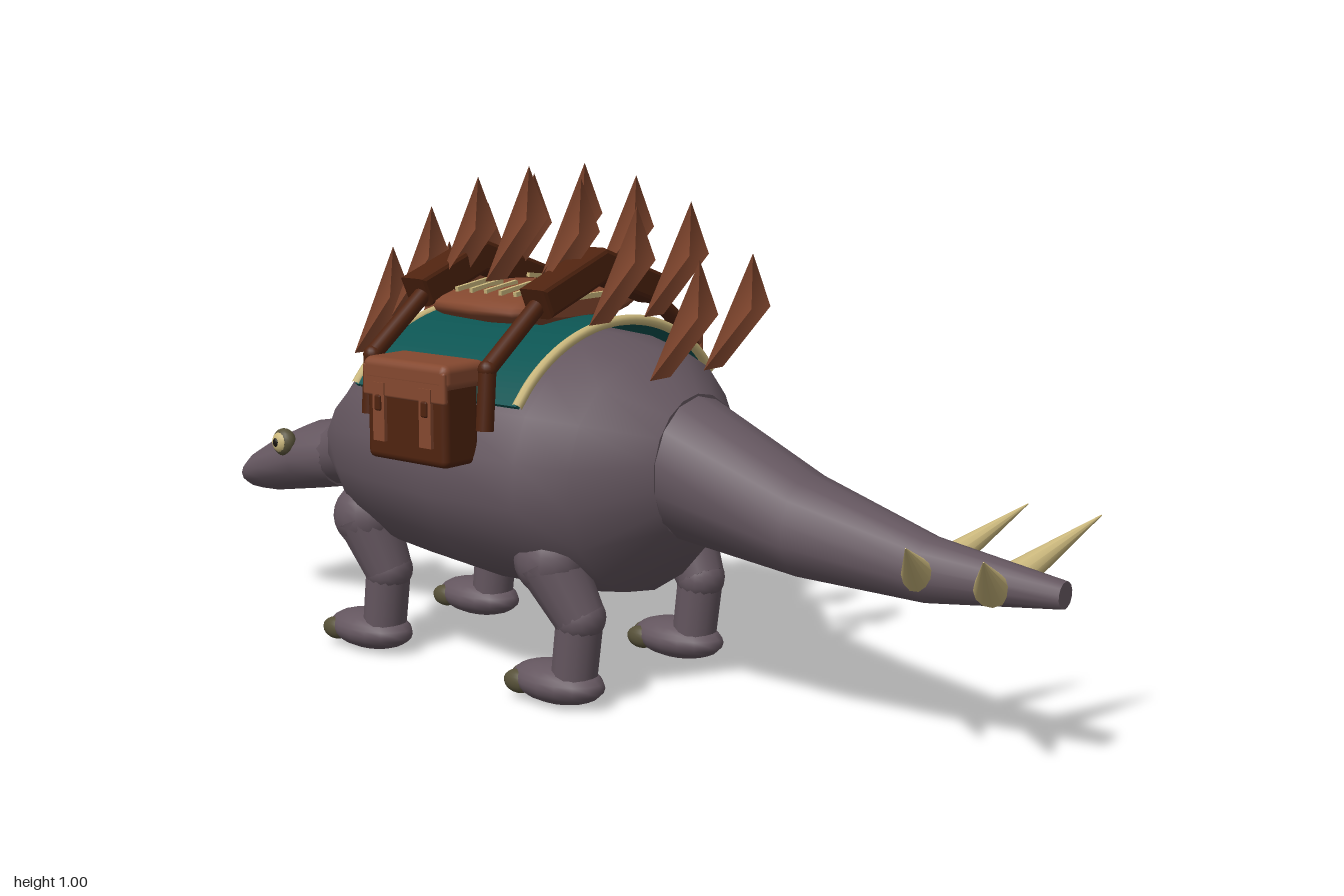
import * as THREE from 'three';
import { RoundedBoxGeometry } from 'three/addons/geometries/RoundedBoxGeometry.js';

const mat = (name, color) => {
  const m = new THREE.MeshStandardMaterial({ color });
  m.name = name;
  return m;
};
const V = (x, y, z) => new THREE.Vector3(x, y, z);

// Closed loft through elliptical rings [z, centreY, radiusX, radiusY], from +z to -z
function loft(rings, seg) {
  const pos = [], idx = [];
  const n = rings.length;
  for (const [z, cy, rx, ry] of rings) {
    for (let j = 0; j < seg; j++) {
      const a = (j / seg) * Math.PI * 2 + Math.PI / 2;
      pos.push(rx * Math.cos(a), cy + ry * Math.sin(a), z);
    }
  }
  for (let i = 0; i < n - 1; i++) {
    for (let j = 0; j < seg; j++) {
      const k = (j + 1) % seg;
      const a = i * seg + j, b = i * seg + k, c = a + seg, d = b + seg;
      idx.push(a, c, b, b, c, d);
    }
  }
  // End caps with their own vertices, so the rims stay sharp
  [0, n - 1].forEach((r) => {
    const base = pos.length / 3;
    for (let j = 0; j < seg * 3; j++) pos.push(pos[r * seg * 3 + j]);
    for (let j = 1; j < seg - 1; j++) {
      if (r === 0) idx.push(base, base + j, base + j + 1);
      else idx.push(base, base + j + 1, base + j);
    }
  });
  const g = new THREE.BufferGeometry();
  g.setAttribute('position', new THREE.Float32BufferAttribute(pos, 3));
  g.setIndex(idx);
  g.computeVertexNormals();
  return g;
}

// Pointed blade: an open sheet whose two shoulders fold back, with the tip at the origin
function bladeGeometry() {
  const w = 0.031;
  const g = new THREE.BufferGeometry();
  g.setAttribute('position', new THREE.Float32BufferAttribute([
    0, 0, 0, -w, -0.1, 0.02, -w, -0.225, -0.088, w, -0.225, -0.088, w, -0.1, 0.02], 3));
  g.setIndex([0, 2, 1, 0, 3, 2, 0, 4, 3].reverse().map((v) => v));
  g.setIndex([0, 3, 2, 0, 2, 1, 0, 4, 3]);
  g.computeVertexNormals();
  return g;
}

export function createModel() {
  const model = new THREE.Group();
  model.name = 'packBeast';

  const hide = mat('hide', 0x64565f);
  const leather = mat('leather', 0x84482f);
  leather.side = THREE.DoubleSide;
  const darkLeather = mat('darkLeather', 0x4f230f);
  const cloth = mat('cloth', 0x0c5452);
  const horn = mat('horn', 0xcab77c);
  const claw = mat('claw', 0x565038);
  const pupilMat = mat('pupil', 0x17130f);

  const add = (name, geo, material, p = [0, 0, 0], s = [1, 1, 1]) => {
    const m = new THREE.Mesh(geo, material);
    m.name = name;
    m.position.set(...p);
    m.scale.set(...s);
    model.add(m);
    return m;
  };
  // Tapered rod from a to b
  const rod = (name, a, b, ra, rb, material, seg = 12) => {
    const m = add(name, new THREE.CylinderGeometry(rb, ra, a.distanceTo(b), seg), material);
    m.position.copy(a).lerp(b, 0.5);
    m.quaternion.setFromUnitVectors(V(0, 1, 0), b.clone().sub(a).normalize());
  };
  const ball = new THREE.SphereGeometry(1, 16, 12);
  const blade = bladeGeometry();

  // Trunk, tail, neck and head
  add('body', loft([
    [0.245, 0.45, 0.135, 0.14], [0.145, 0.43, 0.262, 0.236], [0.05, 0.435, 0.31, 0.252],
    [-0.15, 0.44, 0.335, 0.26], [-0.36, 0.44, 0.3, 0.245], [-0.48, 0.43, 0.25, 0.218],
    [-0.57, 0.425, 0.19, 0.135]], 18), hide);
  add('tail', loft([
    [1, 0.333, 0.025, 0.024], [0.75, 0.335, 0.055, 0.06], [0.5, 0.375, 0.1, 0.095],
    [0.235, 0.45, 0.135, 0.14]], 14), hide);
  add('neck', loft([
    [-0.5, 0.425, 0.115, 0.125], [-0.57, 0.41, 0.102, 0.12], [-0.65, 0.385, 0.092, 0.092],
    [-0.74, 0.355, 0.084, 0.07]], 14), hide);
  add('head', loft([
    [-0.71, 0.36, 0.086, 0.077], [-0.8, 0.343, 0.1, 0.077], [-0.9, 0.313, 0.1, 0.064],
    [-0.96, 0.295, 0.088, 0.049], [-1, 0.283, 0.06, 0.034]], 16), hide);

  for (const s of [1, -1]) {
    // Eyes
    add('eyeSocket', ball, claw, [s * 0.087, 0.38, -0.82], [0.022, 0.031, 0.031]);
    add('eye', ball, horn, [s * 0.095, 0.381, -0.821], [0.017, 0.024, 0.024]);
    add('pupil', ball, pupilMat, [s * 0.109, 0.382, -0.823], [0.005, 0.01, 0.009]);

    // Tail spikes
    for (const z of [0.74, 0.88]) {
      rod('tailSpike', V(s * 0.028, 0.328, z), V(s * 0.212, 0.425, z + 0.08), 0.031, 0.001, horn);
    }

    // Legs: [x, hip z, hip y, knee z, ankle z, foot z]
    for (const [x, hz, hy, kz, az, fz] of [
      [0.19, 0.055, 0.28, 0.115, 0.1, 0.06], [0.165, -0.465, 0.285, -0.42, -0.435, -0.475]]) {
      const hip = V(s * (x + 0.015), hy, hz), knee = V(s * x, 0.175, kz), ankle = V(s * x, 0.05, az);
      add('hip', ball, hide, hip.toArray(), [0.065, 0.07, 0.072]);
      rod('thigh', hip, knee, 0.066, 0.05, hide, 14);
      add('knee', ball, hide, knee.toArray(), [0.05, 0.048, 0.05]);
      rod('shin', knee, ankle, 0.046, 0.045, hide, 14);
      add('foot', ball, hide, [s * x, 0.04, fz], [0.064, 0.04, 0.105]);
      for (const t of [-1, 0, 1]) {
        add('toe', ball, claw, [s * x + t * 0.036, 0.035, fz - 0.08 + Math.abs(t) * 0.012],
          [0.02, 0.023, 0.034]);
      }
    }

    // Back spines: [tip z, tip y]
    for (const [z, y] of [[0.307, 0.85], [0.163, 0.94], [0.03, 0.985], [-0.1, 1.005],
      [-0.233, 0.98], [-0.361, 0.917], [-0.473, 0.83]]) {
      add('backSpine', blade, leather, [s * 0.083, y, z]);
    }

    // Saddlebag with lid, straps and buckles
    add('bag', new RoundedBoxGeometry(0.092, 0.17, 0.205, 2, 0.014), darkLeather, [s * 0.343, 0.553, -0.138]);
    add('bagLid', new RoundedBoxGeometry(0.115, 0.05, 0.218, 2, 0.016), leather, [s * 0.337, 0.636, -0.138]);
    add('bagFlap', new RoundedBoxGeometry(0.012, 0.06, 0.212, 2, 0.005), leather, [s * 0.388, 0.618, -0.138]);
    for (const z of [-0.08, -0.2]) {
      add('bagStrap', new THREE.BoxGeometry(0.009, 0.11, 0.03), leather, [s * 0.392, 0.56, z]);
      add('bagBuckle', new RoundedBoxGeometry(0.01, 0.03, 0.016, 1, 0.004), darkLeather, [s * 0.396, 0.577, z]);
    }

    // Side rails of the saddle frame
    for (const z of [-0.005, -0.305]) {
      const top = V(s * 0.17, 0.75, z), elbow = V(s * 0.308, 0.648, z);
      rod('frameRail', top, elbow, 0.017, 0.017, darkLeather);
      add('frameElbow', ball, darkLeather, elbow.toArray(), [0.018, 0.018, 0.018]);
      rod('framePost', elbow, V(s * 0.317, 0.535, z), 0.017, 0.017, darkLeather);
    }

    // Seat lacing
    for (let i = 0; i < 5; i++) {
      const lace = add('seatLace', new THREE.BoxGeometry(0.09, 0.009, 0.008), horn,
        [s * 0.105, 0.771, -0.231 + i * 0.038]);
      lace.rotation.z = -s * 0.13;
    }
  }

  // Blanket: an arched sheet over the back, with a trim at each end
  const a0 = 0.55, a1 = Math.PI - a0;
  const arch = new THREE.Shape();
  arch.absellipse(0, 0.44, 0.35, 0.275, a0, a1, false);
  arch.absellipse(0, 0.44, 0.34, 0.264, a1, a0, true);
  add('blanket', new THREE.ExtrudeGeometry(arch, { depth: 0.42, bevelEnabled: false, curveSegments: 24 }),
    cloth, [0, 0, -0.365]);
  const arc = [];
  for (let i = 0; i <= 12; i++) {
    const a = a0 + ((a1 - a0) * i) / 12;
    arc.push(V(0.347 * Math.cos(a), 0.44 + 0.272 * Math.sin(a), 0));
  }
  for (const z of [0.055, -0.365]) {
    add('blanketTrim', new THREE.TubeGeometry(new THREE.CatmullRomCurve3(arc), 32, 0.01, 8), horn, [0, 0, z]);
  }

  // Padded seat and its piping
  add('seat', loft([
    [-0.035, 0.735, 0.15, 0.02], [-0.055, 0.735, 0.19, 0.036], [-0.155, 0.735, 0.2, 0.041],
    [-0.255, 0.735, 0.19, 0.036], [-0.275, 0.735, 0.15, 0.02]], 24), leather);
  for (const z of [-0.275, -0.035]) {
    add('seatPiping', new THREE.BoxGeometry(0.22, 0.01, 0.01), horn, [0, 0.752, z]);
  }

  // Thick peaked bows at the front and back of the saddle
  const bow = new THREE.Shape([[-0.158, 0.738], [0, 0.792], [0.158, 0.738], [0.178, 0.779],
    [0, 0.84], [-0.178, 0.779]].map(([x, y]) => new THREE.Vector2(x, y)));
  const bowGeo = new THREE.ExtrudeGeometry(bow, {
    depth: 0.044, bevelThickness: 0.01, bevelSize: 0.009, bevelSegments: 2 });
  for (const z of [-0.027, -0.34]) add('saddleBow', bowGeo, darkLeather, [0, 0, z]);

  return model;
}
